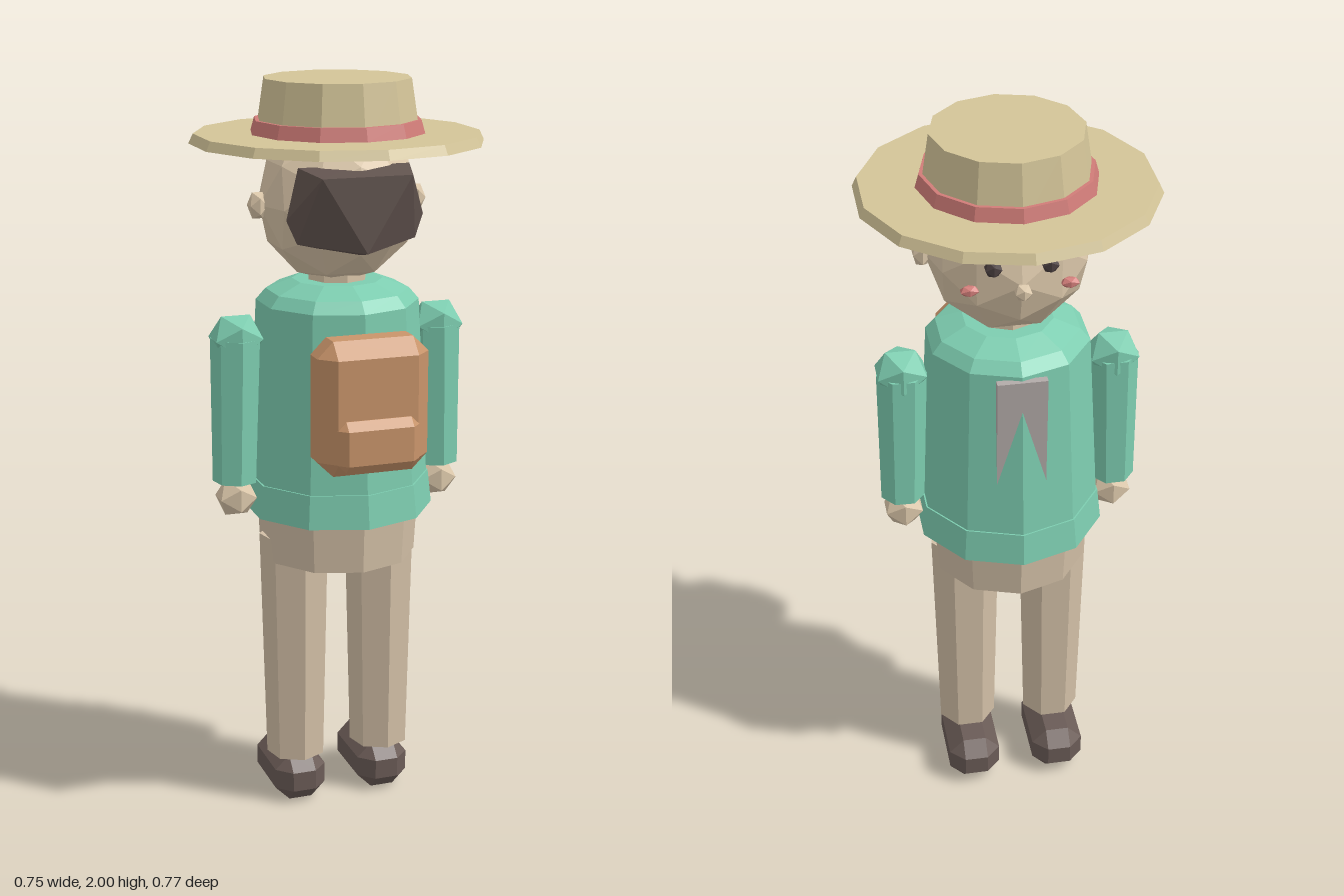
import * as THREE from 'three';
import { ConvexGeometry } from 'three/addons/geometries/ConvexGeometry.js';

const mat = (name, color) => {
  const m = new THREE.MeshStandardMaterial({ color, flatShading: true });
  m.name = name;
  return m;
};

export function createModel() {
  const straw = mat('straw', 0xd3c498);
  const rose = mat('rose', 0xd07c78);
  const skin = mat('skin', 0xdac6a9);
  const khaki = mat('khaki', 0xd2bfa6);
  const green = mat('green', 0x7dcdb0);
  const hairBrown = mat('hair brown', 0x62544f);
  const shoeBrown = mat('shoe brown', 0x6a5b56);
  const leather = mat('leather', 0xc8946a);
  const grey = mat('grey', 0xb2aaa8);
  const dark = mat('eye dark', 0x4a3f3f);

  const root = new THREE.Group();
  const add = (name, geo, material, x = 0, y = 0, z = 0) => {
    const m = new THREE.Mesh(geo, material);
    m.name = name;
    m.position.set(x, y, z);
    root.add(m);
    return m;
  };
  // Tapered cylinder between two heights
  const drum = (name, material, rTop, rBottom, y0, y1, sides, x = 0) =>
    add(name, new THREE.CylinderGeometry(rTop, rBottom, y1 - y0, sides), material, x, (y0 + y1) / 2, 0);
  // Faceted blob with its own radii
  const blob = (name, material, x, y, z, rx, ry = rx, rz = rx, detail = 0) =>
    add(name, new THREE.IcosahedronGeometry(1, detail).scale(rx, ry, rz), material, x, y, z);
  // Box with flat bevels on every edge
  const bevelBox = (name, material, w, h, d, c, x, y, z) => {
    const pts = [];
    for (const i of [-1, 1]) for (const j of [-1, 1]) for (const k of [-1, 1]) {
      pts.push(new THREE.Vector3(i * w / 2, j * (h / 2 - c), k * (d / 2 - c)));
      pts.push(new THREE.Vector3(i * (w / 2 - c), j * h / 2, k * (d / 2 - c)));
      pts.push(new THREE.Vector3(i * (w / 2 - c), j * (h / 2 - c), k * d / 2));
    }
    return add(name, new ConvexGeometry(pts), material, x, y, z);
  };

  // Hat
  drum('hatBrim', straw, 0.373, 0.385, 1.835, 1.86, 14);
  drum('hatCrown', straw, 0.194, 0.217, 1.85, 2.0, 12);
  drum('hatBand', rose, 0.22, 0.23, 1.86, 1.895, 12);

  // Head, neck and hair
  blob('head', skin, 0, 1.68, 0, 0.213, 0.213, 0.213, 1);
  drum('neck', skin, 0.08, 0.08, 1.43, 1.53, 8);
  const hair = [[0, 1.58, 0.235], [0, 1.56, 0.14], [0, 1.79, 0.14]];
  for (const s of [-1, 1]) {
    hair.push([s * 0.12, 1.775, 0.235], [s * 0.185, 1.66, 0.14],
      [s * 0.16, 1.6, 0.15], [s * 0.15, 1.79, 0.13]);
  }
  add('hair', new ConvexGeometry(hair.map((p) => new THREE.Vector3(...p))), hairBrown);

  // Face, on the side away from the backpack
  blob('nose', skin, 0, 1.67, -0.222, 0.024);
  for (const s of [-1, 1]) {
    blob('ear', skin, s * 0.218, 1.68, 0, 0.027, 0.04, 0.034);
    blob('eye', dark, s * 0.07, 1.73, -0.2, 0.024);
    blob('cheek', rose, s * 0.125, 1.66, -0.176, 0.026, 0.015, 0.018);
  }

  // Shirt: body, hem and sloping shoulders
  drum('shirtBody', green, 0.216, 0.242, 0.94, 1.42, 10);
  drum('shirtHem', green, 0.246, 0.256, 0.855, 0.945, 10);
  drum('shoulders', green, 0.19, 0.216, 1.42, 1.45, 10);
  drum('collar', green, 0.12, 0.19, 1.45, 1.477, 10);

  // Slanted front panel that sinks into the shirt
  const panel = add('shirtPanel', new THREE.BoxGeometry(0.13, 0.33, 0.02), grey, 0, 1.245, -0.2085);
  panel.rotation.x = -0.04;

  // Trousers
  drum('hips', khaki, 0.218, 0.21, 0.72, 0.86, 10);

  for (const s of [-1, 1]) {
    // Arms, slightly splayed
    const arm = drum('arm', green, 0.068, 0.06, 0.945, 1.335, 7, s * 0.285);
    arm.rotation.z = s * 0.02;
    blob('shoulderCap', green, s * 0.281, 1.335, 0, 0.075, 0.07, 0.075);
    blob('hand', skin, s * 0.287, 0.9, 0, 0.058);
    // Legs and shoes
    drum('leg', khaki, 0.096, 0.081, 0.135, 0.78, 7, s * 0.123);
    bevelBox('shoe', shoeBrown, 0.145, 0.135, 0.255, 0.04, s * 0.122, 0.0675, -0.053);
  }

  // Backpack
  bevelBox('backpack', leather, 0.3, 0.355, 0.14, 0.042, 0, 1.195, 0.25);
  bevelBox('backpackPocket', leather, 0.22, 0.135, 0.08, 0.022, 0, 1.105, 0.304);

  return root;
}
